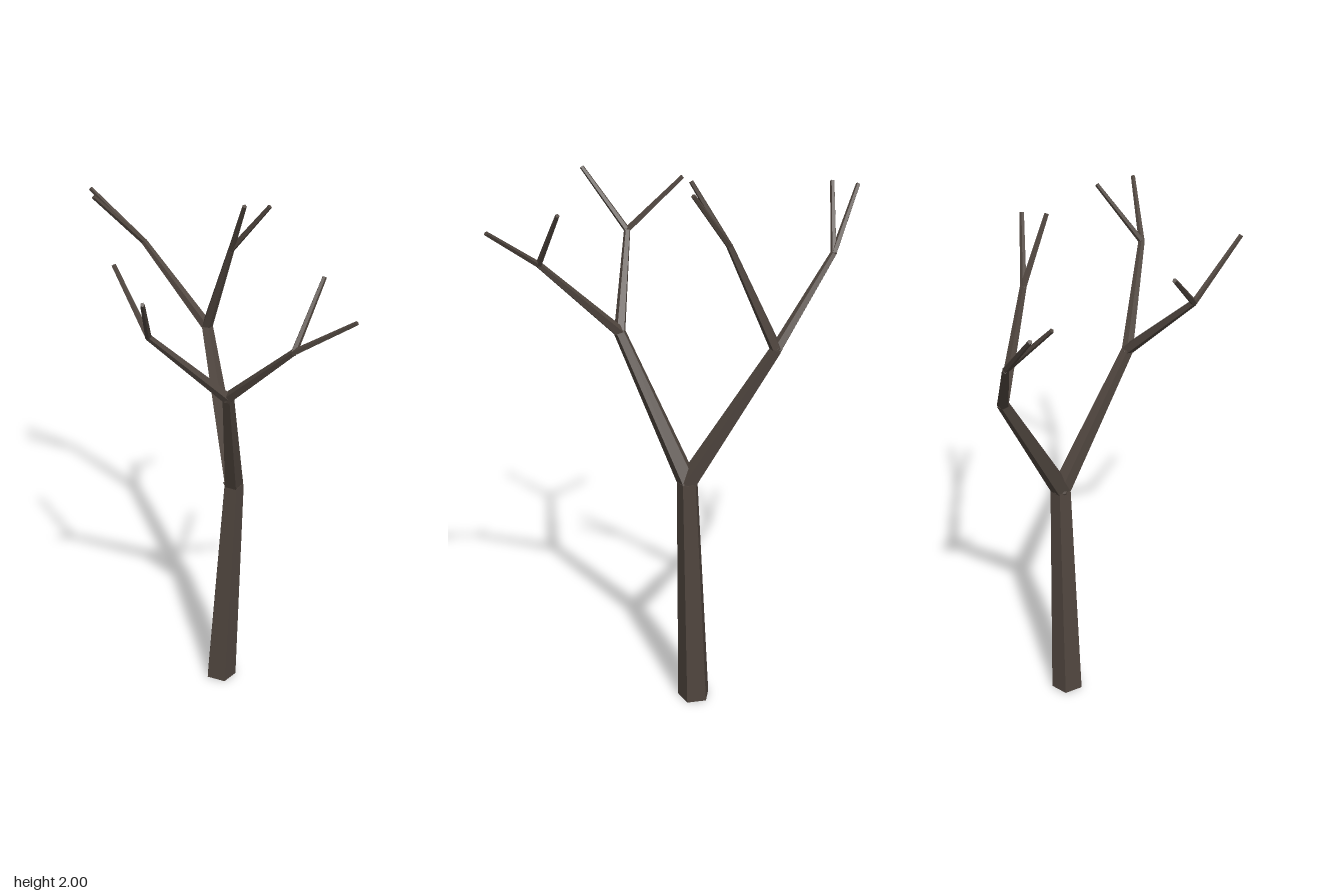
import * as THREE from 'three';

const UP = new THREE.Vector3(0, 1, 0);

// Bare tree as nested nodes: end point of each limb and the limbs that grow from it
const TREE = {
  at: [0.01, 0.89, -0.225],
  limbs: [
    { at: [0.158, 1.405, 0.005], limbs: [
      { at: [0.45, 1.69, 0.03], limbs: [
        { at: [0.66, 1.845, -0.02] }, { at: [0.45, 1.905, -0.13] }] },
      { at: [0.005, 1.69, 0.245], limbs: [
        { at: [-0.19, 1.875, 0.19] }, { at: [0.11, 1.9, 0.395] }] }] },
    { at: [-0.245, 1.4, -0.385], limbs: [
      { at: [-0.5, 1.69, -0.33], limbs: [
        { at: [-0.66, 1.89, -0.225] }, { at: [-0.592, 1.895, -0.165] }] },
      { at: [-0.09, 1.775, -0.325], limbs: [
        { at: [0.02, 1.995, -0.255] }, { at: [0.062, 1.975, -0.345] }] }] },
  ],
};

// Name, start radius and end radius for each branching level
const LEVELS = [
  ['trunk', 0.06, 0.039],
  ['mainBranch', 0.037, 0.022],
  ['branch', 0.021, 0.012],
  ['twig', 0.0115, 0.008],
];

export function createModel() {
  const tree = new THREE.Group();
  tree.name = 'bareTree';
  const bark = new THREE.MeshStandardMaterial({ color: 0x51473f });
  bark.name = 'darkBark';
  bark.color.set(0x50463f);

  function grow(start, node, level) {
    const [name, r0, r1] = LEVELS[level];
    const end = new THREE.Vector3(...node.at);
    const dir = end.clone().sub(start);
    const length = dir.length();
    dir.normalize();

    // Tapered five-sided limb, faceted
    const geo = new THREE.CylinderGeometry(r1, r0, length, 5, 1, false, -Math.PI / 2).toNonIndexed();
    geo.translate(0, length / 2, 0);
    geo.applyQuaternion(new THREE.Quaternion().setFromUnitVectors(UP, dir));
    geo.translate(start.x, start.y, start.z);
    geo.computeVertexNormals();
    const limb = new THREE.Mesh(geo, bark);
    limb.name = name;
    tree.add(limb);

    if (!node.limbs) return;
    // Small faceted knot closes the fork
    const knot = new THREE.Mesh(new THREE.IcosahedronGeometry(r1 * 0.97, 0), bark);
    knot.name = name + 'Fork';
    knot.position.copy(end);
    tree.add(knot);
    node.limbs.forEach((child) => grow(end, child, level + 1));
  }

  grow(new THREE.Vector3(-0.031, 0.003, -0.21), TREE, 0);
  return tree;
}
